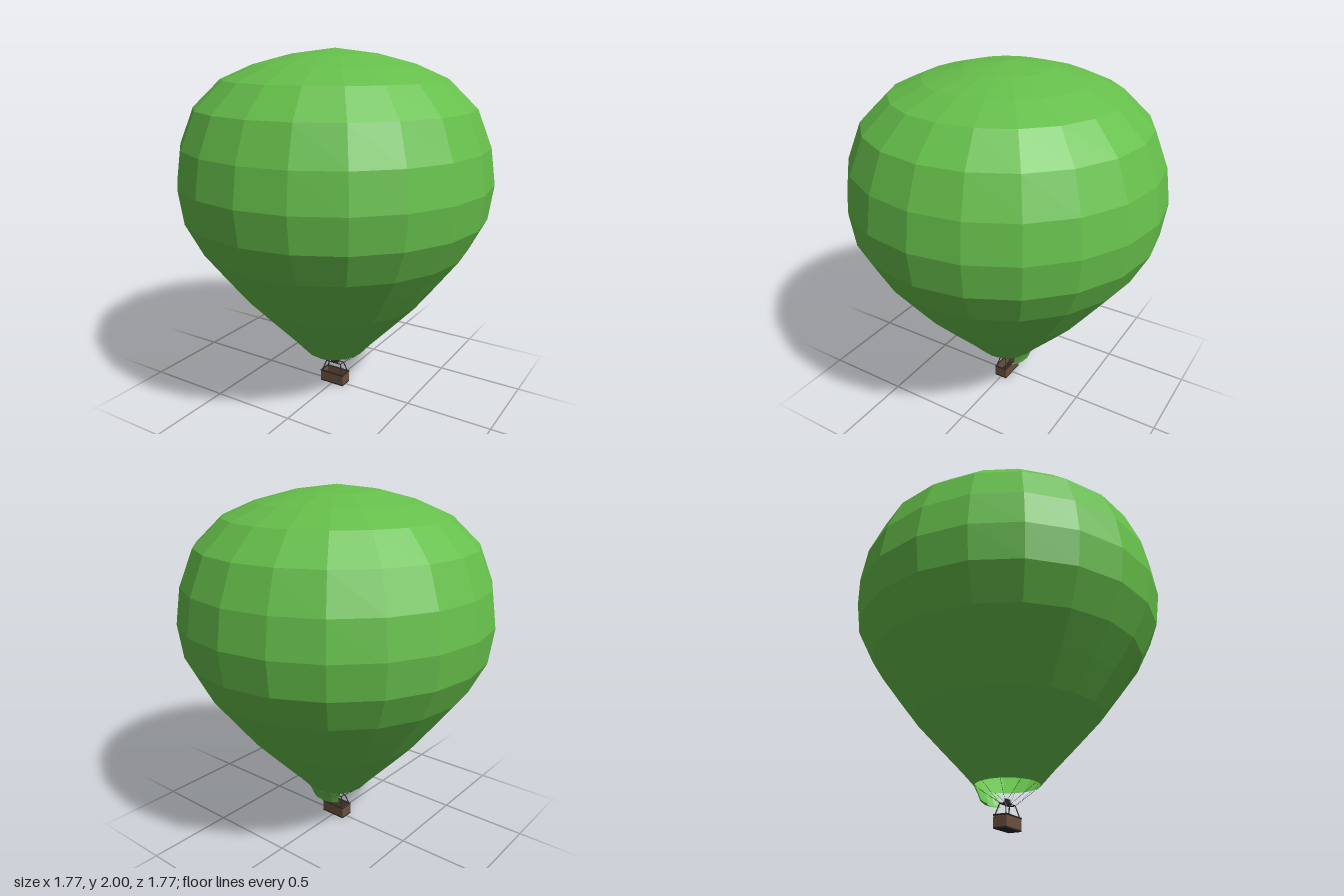
import * as THREE from 'three';

const mat = (color, extra = {}) => new THREE.MeshStandardMaterial({ color, flatShading: true, ...extra });

export function createModel() {
  const balloon = new THREE.Group();
  balloon.name = 'hotAirBalloon';
  const fabric = mat(0x66bf4b, { side: THREE.DoubleSide });
  const wicker = mat(0x6b503d);
  const dark = mat(0x2a2727);

  const add = (parent, name, geometry, material, x = 0, y = 0, z = 0) => {
    const mesh = new THREE.Mesh(geometry, material);
    mesh.name = name;
    mesh.position.set(x, y, z);
    parent.add(mesh);
    return mesh;
  };
  // Thin round bar between two points
  const bar = (parent, name, a, b, radius, material, sides = 6) => {
    const from = new THREE.Vector3(...a), to = new THREE.Vector3(...b);
    const dir = to.clone().sub(from);
    const mesh = add(parent, name, new THREE.CylinderGeometry(radius, radius, dir.length(), sides), material);
    mesh.position.copy(from).add(to).multiplyScalar(0.5);
    mesh.quaternion.setFromUnitVectors(new THREE.Vector3(0, 1, 0), dir.normalize());
    return mesh;
  };
  const profile = (pts) => pts.map(([r, y]) => new THREE.Vector2(r, y));

  // Envelope: twenty gores, open at the mouth
  add(balloon, 'envelope', new THREE.LatheGeometry(profile([
    [0.178, 0.232], [0.247, 0.31], [0.385, 0.455], [0.525, 0.605], [0.645, 0.76], [0.765, 0.918],
    [0.858, 1.1], [0.884, 1.29], [0.855, 1.49], [0.775, 1.69], [0.622, 1.838], [0.445, 1.915],
    [0.235, 1.97], [0, 2],
  ]), 20), fabric);

  // Scoop: a partial skirt hanging from the back of the mouth
  const half = 0.75;
  add(balloon, 'scoop', new THREE.LatheGeometry(profile([
    [0.108, 0.135], [0.128, 0.14], [0.145, 0.155], [0.156, 0.185], [0.178, 0.232],
  ]), 6, Math.PI - half, 2 * half), fabric);

  // Basket: open box with a dark floor and padded rim
  const basket = new THREE.Group();
  basket.name = 'basket';
  balloon.add(basket);
  const W = 0.078, D = 0.039;
  add(basket, 'floor', new THREE.BoxGeometry(2 * W, 0.008, 2 * D), dark, 0, 0.004, 0);
  for (const s of [-1, 1]) {
    add(basket, 'longWall', new THREE.BoxGeometry(2 * W, 0.06, 0.006), wicker, 0, 0.038, s * (D - 0.003));
    add(basket, 'endWall', new THREE.BoxGeometry(0.006, 0.06, 2 * D - 0.012), wicker, s * (W - 0.003), 0.038, 0);
    bar(basket, 'longRim', [-W, 0.069, s * (D - 0.002)], [W, 0.069, s * (D - 0.002)], 0.005, dark);
    bar(basket, 'endRim', [s * (W - 0.002), 0.069, -D], [s * (W - 0.002), 0.069, D], 0.005, dark);
  }

  // Burner frame on four leaning uprights
  const X = 0.05, Z = 0.018, Y = 0.132;
  for (const sx of [-1, 1]) {
    for (const sz of [-1, 1])
      bar(balloon, 'upright', [sx * 0.07, 0.07, sz * 0.034], [sx * X, Y, sz * Z], 0.0035, dark);
    bar(balloon, 'frameEnd', [sx * X, Y, -Z], [sx * X, Y, Z], 0.003, dark);
    bar(balloon, 'frameSide', [-X, Y, sx * Z], [X, Y, sx * Z], 0.003, dark);
    // Twin burners
    add(balloon, 'burner', new THREE.CylinderGeometry(0.011, 0.009, 0.032, 8), dark, sx * 0.012, 0.143, 0);
  }
  add(balloon, 'burnerBlock', new THREE.BoxGeometry(0.044, 0.01, 0.026), dark, 0, 0.135, 0);

  // Suspension lines fan out from the frame to the mouth
  for (let i = 0; i < 10; i++) {
    const a = (i / 10) * Math.PI * 2, s = Math.sin(a), c = Math.cos(a);
    bar(balloon, 'suspensionLine', [Math.sign(Math.round(s * 9)) * X, Y, Math.sign(Math.round(c * 9)) * Z],
      [s * 0.177, 0.233, c * 0.177], 0.0009, dark, 4);
  }
  return balloon;
}
